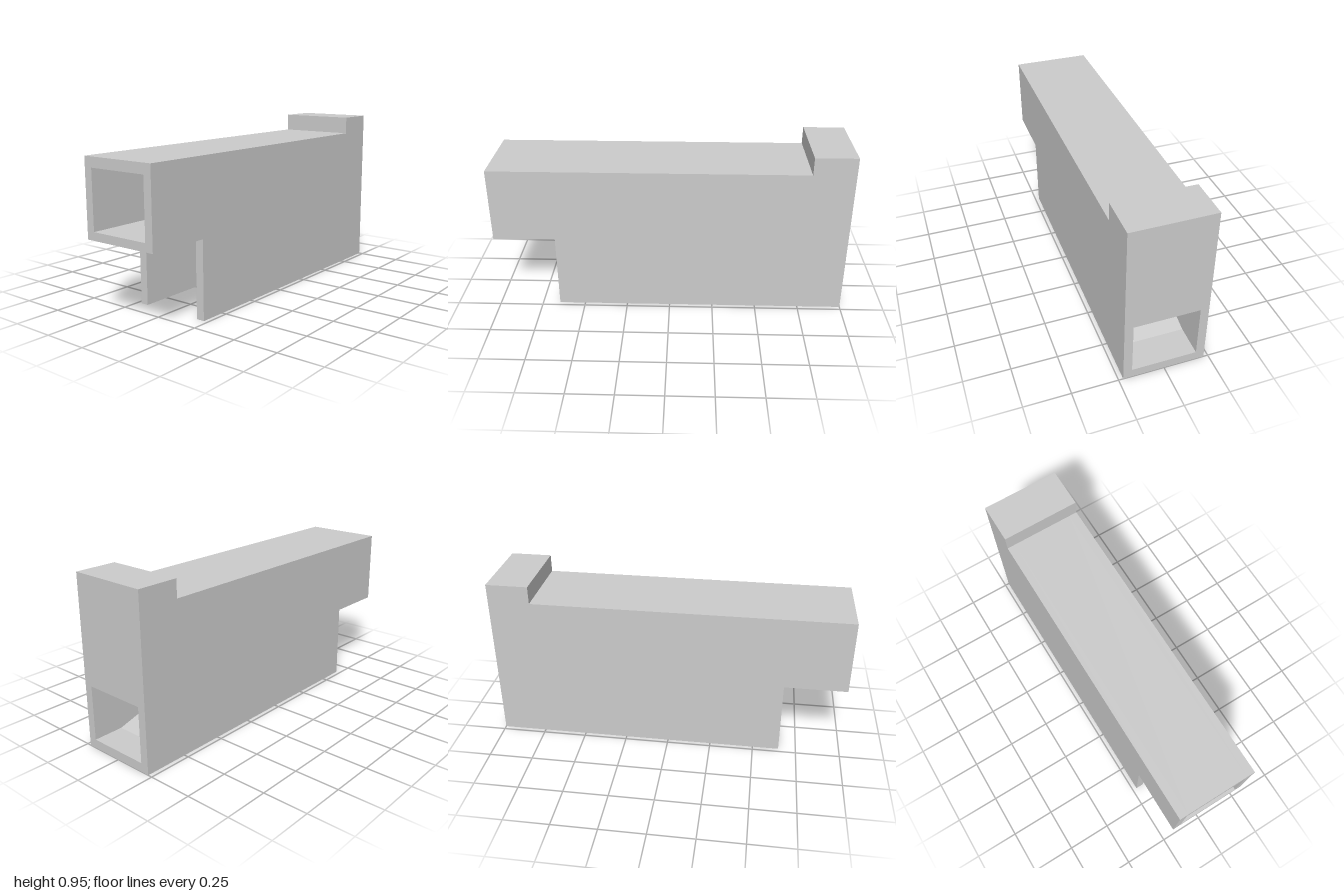
import * as THREE from 'three';

const HALF = 0.225; // outer half width
const INNER = 0.178; // half width between the side walls

export function createModel() {
  const group = new THREE.Group();
  const material = new THREE.MeshStandardMaterial({ color: 0xcccccc, flatShading: true });

  // Extrude an x-y profile between two z positions
  function slab(name, points, z0, z1) {
    const shape = new THREE.Shape(points.map(([x, y]) => new THREE.Vector2(x, y)));
    const geometry = new THREE.ExtrudeGeometry(shape, { depth: z1 - z0, bevelEnabled: false });
    geometry.translate(0, 0, z0);
    const mesh = new THREE.Mesh(geometry, material);
    mesh.name = name;
    group.add(mesh);
  }

  // Side walls, stepped at the inlet and raised at the head block
  const wall = [
    [-1, 0.43], [-0.65, 0.43], [-0.65, 0], [1, 0],
    [1, 0.95], [0.765, 0.95], [0.765, 0.85], [-1, 0.85],
  ];
  slab('leftWall', wall, INNER, HALF);
  slab('rightWall', wall, -HALF, -INNER);

  // Inlet floor, sloping ramp and outlet floor in one bent plate
  slab('rampFloor', [
    [-1, 0.43], [-0.65, 0.43], [0.7, 0.045], [0.7, 0], [1, 0],
    [1, 0.05], [0.83, 0.05], [-0.65, 0.475], [-1, 0.475],
  ], -INNER, INNER);

  // Flat roof over the channel
  slab('roof', [[-1, 0.795], [0.765, 0.795], [0.765, 0.85], [-1, 0.85]], -INNER, INNER);

  // Solid head block above the outlet
  slab('headBlock', [[0.765, 0.355], [1, 0.355], [1, 0.95], [0.765, 0.95]], -INNER, INNER);

  return group;
}
